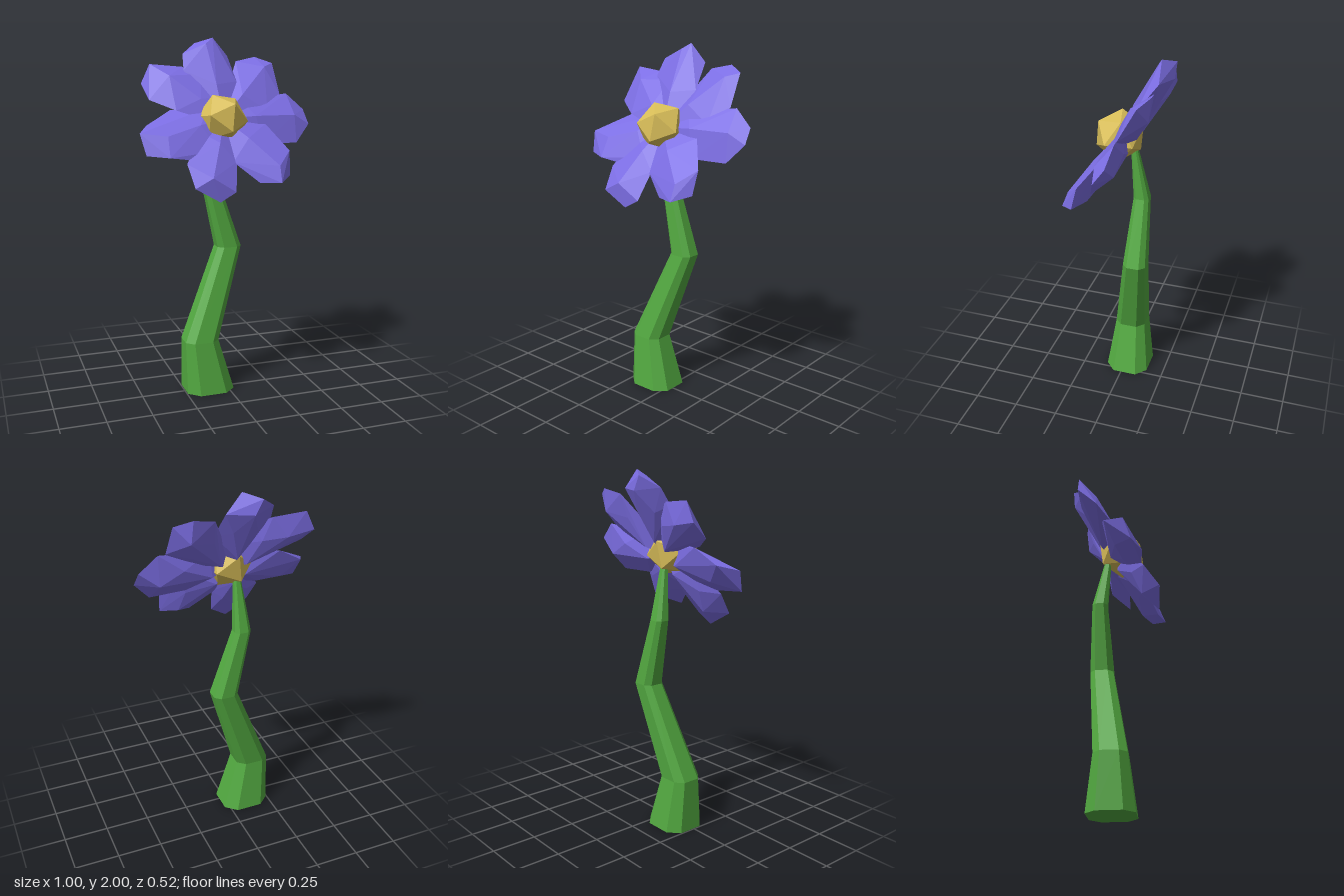
import * as THREE from 'three';
import { ConvexGeometry } from 'three/addons/geometries/ConvexGeometry.js';

const material = (color) => new THREE.MeshStandardMaterial({ color, flatShading: true });

// The flower head lies in a plane leaning back and faintly turned to the left
const facing = new THREE.Vector3(0.03, 0.62, 1).normalize();
const onPlane = (x, y, lift = 0) => new THREE.Vector3(x, y, 0.02 - 0.62 * (y - 1.56) - 0.03 * x + lift);
const heart = onPlane(-0.02, 1.56);

// Petal outlines seen from the front, clockwise from the top: x, y and lift off the plane
const petals = [
  [[-0.2, 1.82], [-0.19, 1.91], [-0.1, 1.97, -0.03], [-0.01, 2, 0.05], [0.08, 1.9, -0.02], [0.1, 1.76]],
  [[0.09, 1.78, -0.03], [0.13, 1.87, -0.03], [0.25, 1.895, -0.03], [0.34, 1.86], [0.35, 1.69, -0.01], [0.25, 1.6]],
  [[0.1, 1.66], [0.39, 1.69, -0.01], [0.49, 1.6, -0.045], [0.5, 1.52, -0.035], [0.41, 1.42, -0.06], [0.2, 1.42, -0.05]],
  [[0.22, 1.53], [0.32, 1.39, 0.03], [0.31, 1.26, -0.015], [0.23, 1.23, 0.045], [0.12, 1.23], [-0.01, 1.34]],
  [[0.01, 1.34], [-0.02, 1.19, -0.015], [-0.11, 1.14, -0.045], [-0.25, 1.22, 0.01], [-0.27, 1.34], [-0.17, 1.5]],
  [[-0.08, 1.4], [-0.25, 1.36], [-0.36, 1.375, 0.02], [-0.475, 1.385, -0.03], [-0.5, 1.5], [-0.44, 1.53, -0.09], [-0.3, 1.61, -0.06], [-0.1, 1.62]],
  [[-0.28, 1.61], [-0.41, 1.665, -0.05], [-0.43, 1.75, -0.1], [-0.38, 1.855, -0.035], [-0.2, 1.84, -0.02], [-0.1, 1.8], [0, 1.68]],
];

// A faceted petal: a rim rooted past the heart, with a swelling on the front and the back
function createPetal(outline) {
  const rim = outline.map((corner) => onPlane(...corner));
  const middle = rim.reduce((sum, p) => sum.add(p), new THREE.Vector3()).divideScalar(rim.length);
  const across = middle.clone().sub(heart).cross(facing).normalize();
  const at = (t, height, side = 0) =>
    heart.clone().lerp(middle, t).addScaledVector(facing, height).addScaledVector(across, side);
  return new ConvexGeometry([
    ...rim,
    at(-0.25, -0.01),
    at(0.5, 0.035), at(1.15, 0.045),
    at(0.3, -0.08), at(1.1, -0.065),
    at(0.75, -0.05, 0.07), at(0.75, -0.05, -0.07),
  ]);
}

// Stem rings from the ground up: centre x, y, z and half width
const stemRings = [
  [-0.107, 0, -0.022, 0.138],
  [-0.152, 0.3, -0.022, 0.097],
  [0.04, 0.825, -0.093, 0.07],
  [-0.062, 1.2, -0.097, 0.046],
  [-0.05, 1.52, -0.05, 0.016],
];

// An eight-sided tube, slightly squared, whose rows are moved onto the rings
function createStem() {
  const rows = stemRings.length - 1;
  const geometry = new THREE.CylinderGeometry(1, 1, rows, 8, rows, false, Math.PI / 8);
  const position = geometry.attributes.position;
  const square = (v) => Math.sign(v) * (Math.abs(v) > 0.5 ? 1 : Math.abs(v) > 0.1 ? 0.55 : 0);
  for (let i = 0; i < position.count; i++) {
    const [x, y, z, r] = stemRings[Math.round(position.getY(i) + rows / 2)];
    position.setXYZ(i, x + square(position.getX(i)) * r, y, z + square(position.getZ(i)) * r * 0.92);
  }
  geometry.computeVertexNormals();
  return geometry;
}

export function createModel() {
  const flower = new THREE.Group();
  flower.name = 'flower';

  const add = (name, geometry, mat, parent = flower) => {
    const mesh = new THREE.Mesh(geometry, mat);
    mesh.name = name;
    parent.add(mesh);
    return mesh;
  };

  add('stem', createStem(), material(0x52a840));

  // Ring of petals
  const petalGroup = new THREE.Group();
  petalGroup.name = 'petals';
  flower.add(petalGroup);
  const purple = material(0x7c6ee4);
  petals.forEach((outline, i) => add(`petal${i + 1}`, createPetal(outline), purple, petalGroup));

  // Faceted centre, one corner pointing forward and up
  const centre = add('flowerCentre', new THREE.IcosahedronGeometry(0.141), material(0xd8bd58));
  const corner = new THREE.Vector3(0, 1, (1 + Math.sqrt(5)) / 2).normalize();
  centre.quaternion.setFromUnitVectors(corner, new THREE.Vector3(0.25, 0.55, 0.7).normalize());
  centre.position.set(-0.028, 1.563, 0.022);

  return flower;
}
